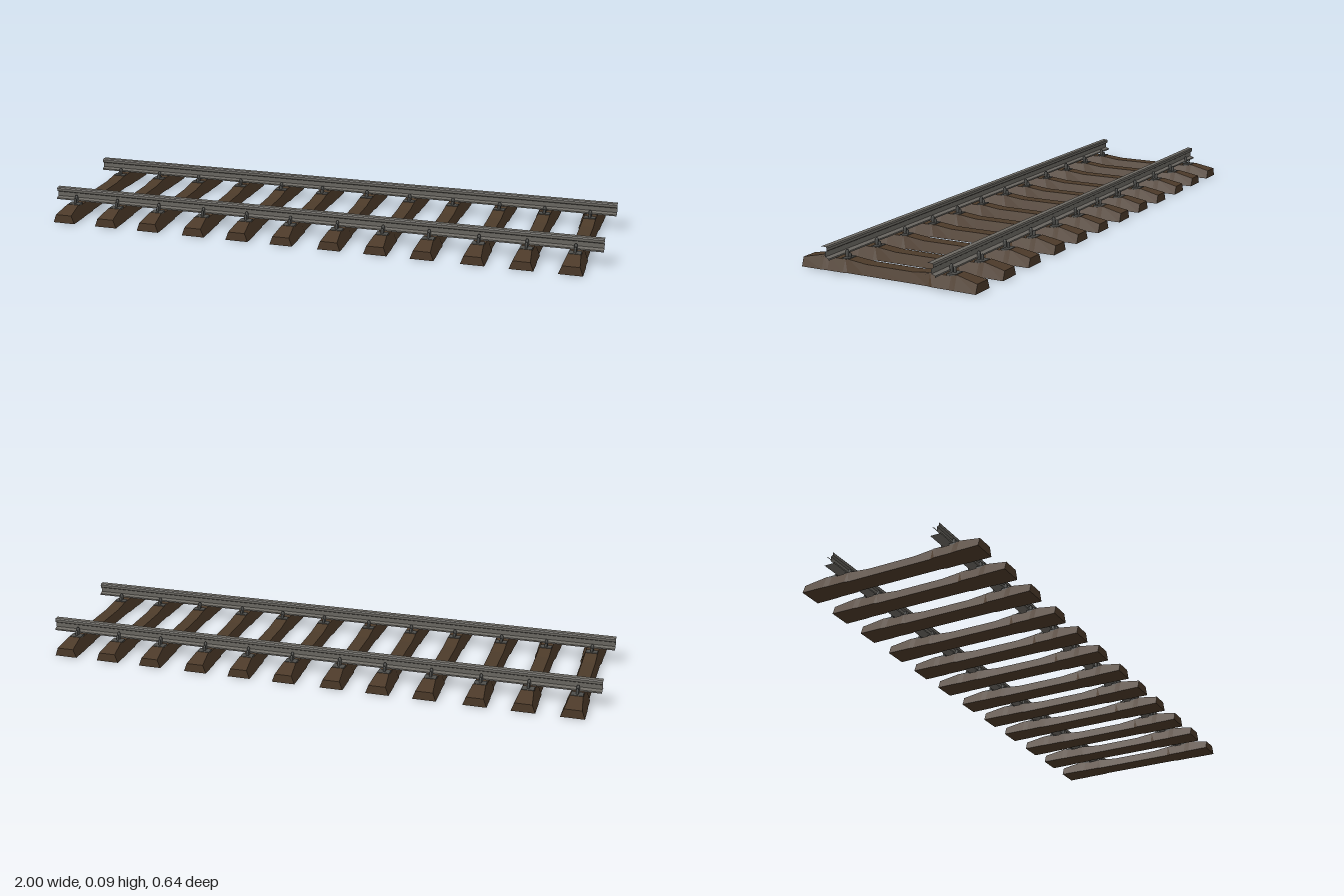
import * as THREE from 'three';

// Skin a run of matching rings (counter-clockwise seen from the far end), flat shaded.
function loft(rings, capped) {
  const pos = [];
  const n = rings[0].length;
  const tri = (a, b, c) => pos.push(...a, ...b, ...c);
  for (let i = 0; i < rings.length - 1; i++) {
    const p = rings[i], q = rings[i + 1];
    for (let j = 0; j < n; j++) {
      const k = (j + 1) % n;
      tri(p[j], p[k], q[k]);
      tri(p[j], q[k], q[j]);
    }
  }
  if (capped) {
    const first = rings[0], last = rings[rings.length - 1];
    for (let j = 1; j < n - 1; j++) {
      tri(first[0], first[j + 1], first[j]);
      tri(last[0], last[j], last[j + 1]);
    }
  }
  const g = new THREE.BufferGeometry();
  g.setAttribute('position', new THREE.Float32BufferAttribute(pos, 3));
  g.computeVertexNormals();
  return g;
}

// Sleeper: trapezoid sections, tall at the rail seats and waisted in the middle.
function sleeperGeometry() {
  // z, top height, half width at base, half width at top
  const half = [
    [0.085, 0.034, 0.034, 0.023],
    [0.15, 0.041, 0.034, 0.022],
    [0.165, 0.04, 0.038, 0.022],
    [0.225, 0.04, 0.038, 0.022],
    [0.245, 0.046, 0.04, 0.022],
    [0.322, 0.03, 0.041, 0.03],
  ];
  const stations = [...half.map(([z, ...r]) => [-z, ...r]).reverse(), ...half];
  return loft(stations.map(([z, y, b, t]) => [[-b, 0, z], [b, 0, z], [t, y, z], [-t, y, z]]), true);
}

// Rail: foot, web and head, left open at both ends.
function railGeometry() {
  const right = [
    [0.018, 0.051], [0.018, 0.056], [0.005, 0.061], [0.005, 0.077],
    [0.012, 0.081], [0.012, 0.09], [0.009, 0.094],
  ];
  const ring = [...right, ...right.map(([u, y]) => [-u, y]).reverse()];
  return loft([-1, 1].map((x) => ring.map(([u, y]) => [x, y, -u])), false);
}

export function createModel() {
  const wood = new THREE.MeshStandardMaterial({ color: 0x4d3b2a });
  wood.name = 'dark brown wood';
  const steel = new THREE.MeshStandardMaterial({ color: 0x6c6963 });
  steel.name = 'rail steel';
  const iron = new THREE.MeshStandardMaterial({ color: 0x50504d });
  iron.name = 'dark iron';

  const model = new THREE.Group();
  model.name = 'railwayTrack';
  const add = (parent, name, geometry, material, x = 0, y = 0, z = 0) => {
    const mesh = new THREE.Mesh(geometry, material);
    mesh.name = name;
    mesh.position.set(x, y, z);
    parent.add(mesh);
    return mesh;
  };

  const sleeper = sleeperGeometry();
  const rail = railGeometry();
  const outerPlate = new THREE.BoxGeometry(0.042, 0.007, 0.032);
  const innerPlate = new THREE.BoxGeometry(0.042, 0.005, 0.026);
  // Round stud with a chamfered top, standing on its base
  const stud = (r, h) => new THREE.LatheGeometry([
    [r, 0], [r, h * 0.8], [r * 0.6, h], [0, h],
  ].map(([a, b]) => new THREE.Vector2(a, b)), 8);
  // distance from the centre line, geometry of each stud
  const studs = [
    ['outerBolt', 0.225, stud(0.005, 0.024)],
    ['outerClip', 0.2125, stud(0.006, 0.032)],
    ['innerClip', 0.1725, stud(0.006, 0.026)],
    ['innerBolt', 0.162, stud(0.005, 0.016)],
  ];

  // Rails
  for (const side of [-1, 1]) {
    add(model, side > 0 ? 'frontRail' : 'backRail', rail, steel, 0, 0, side * 0.195);
  }

  // Four repeats of three sleepers, each with its fastenings
  for (let section = 0; section < 4; section++) {
    for (const offset of [-0.92, -0.756, -0.593]) {
      const tie = new THREE.Group();
      tie.name = 'sleeperWithFastenings';
      tie.position.x = offset + section * 0.5;
      model.add(tie);
      add(tie, 'sleeper', sleeper, wood);
      for (const side of [-1, 1]) {
        add(tie, 'outerPlate', outerPlate, iron, 0, 0.0425, side * 0.224);
        add(tie, 'innerPlate', innerPlate, iron, 0, 0.0405, side * 0.166);
        for (const [name, z, geometry] of studs) {
          add(tie, name, geometry, iron, 0, 0.04, side * z);
        }
      }
    }
  }
  return model;
}
